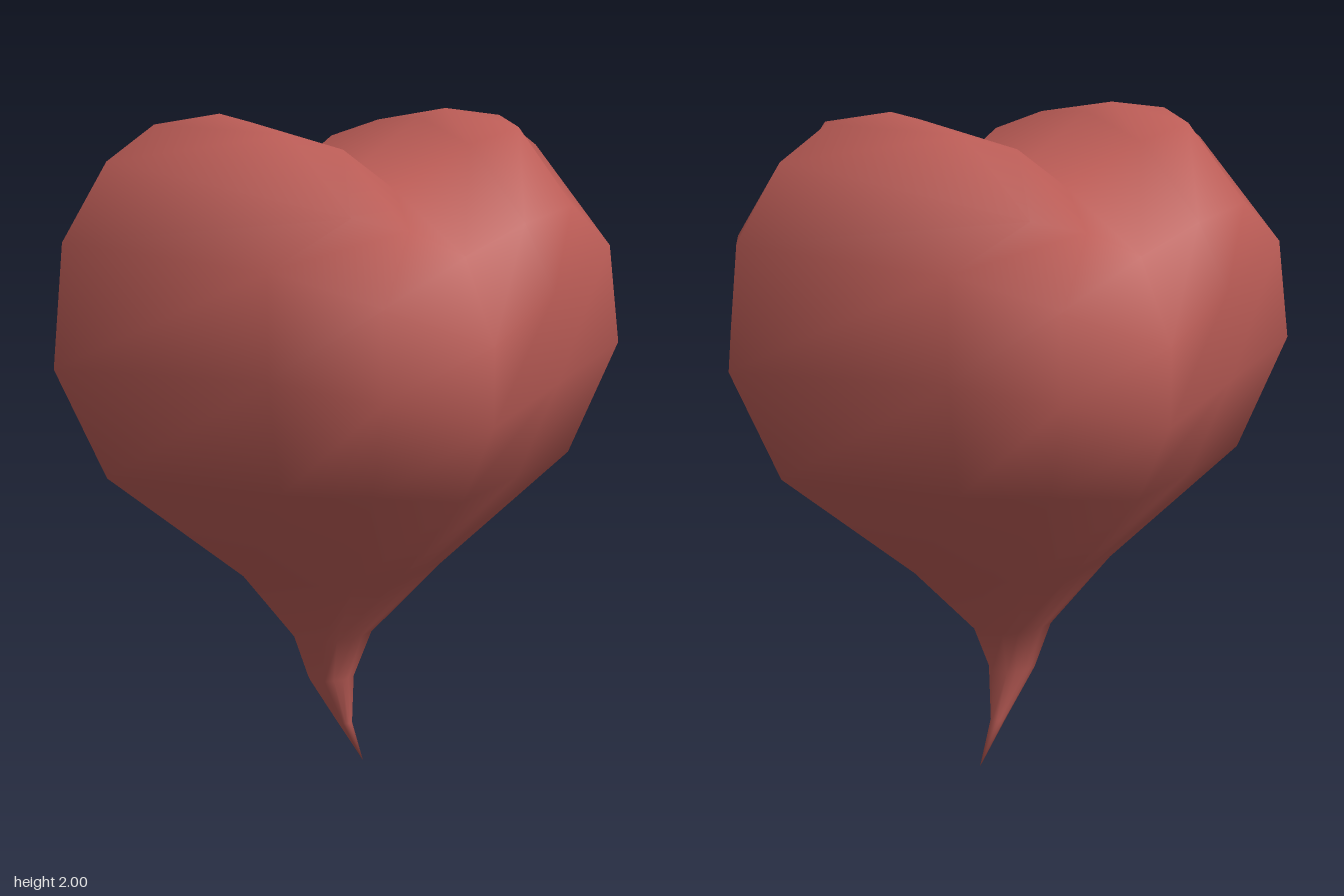
import * as THREE from 'three';
import { mergeVertices } from 'three/addons/utils/BufferGeometryUtils.js';

// A quarter section runs side -> diagonal -> mid -> front; mid defaults to halfway.
function quarter(side, diag, front, mid) {
  const s = [side[0], side[1], 0];
  const f = [0, front[0], front[1]];
  const m = mid || diag.map((v, i) => (v + f[i]) / 2);
  return [s, diag, m, f];
}

// Mirror a quarter into a full closed ring, shifted sideways by cx.
function ring(q, cx = 0) {
  const [s, d, m, f] = q;
  const at = (p, sx, sz) => [cx + p[0] * sx, p[1], p[2] * sz];
  return [
    at(s, 1, 1), at(d, 1, 1), at(m, 1, 1), at(f, 1, 1),
    at(m, -1, 1), at(d, -1, 1), at(s, -1, 1),
    at(d, -1, -1), at(m, -1, -1), at(f, 1, -1), at(m, 1, -1), at(d, 1, -1),
  ];
}

// Elliptical ring for the tapering tail
const oval = (cx, y, rx, rz) =>
  ring(quarter([rx, y], [rx * 0.7, y, rz * 0.7], [y, rz]), cx);

function loft(rings) {
  const pos = [];
  const tri = (a, b, c) => {
    const A = new THREE.Vector3(...a), B = new THREE.Vector3(...b), C = new THREE.Vector3(...c);
    const area = B.clone().sub(A).cross(C.clone().sub(A)).length();
    if (area > 1e-7) pos.push(...a, ...b, ...c);
  };
  for (let k = 0; k < rings.length - 1; k++) {
    const n = rings[k].length;
    for (let j = 0; j < n; j++) {
      const a = rings[k][j], b = rings[k][(j + 1) % n];
      const c = rings[k + 1][j], d = rings[k + 1][(j + 1) % n];
      tri(a, c, b);
      tri(b, c, d);
    }
  }
  const g = new THREE.BufferGeometry();
  g.setAttribute('position', new THREE.Float32BufferAttribute(pos, 3));
  const merged = mergeVertices(g, 1e-4);
  merged.computeVertexNormals();
  return merged;
}

export function createModel() {
  const group = new THREE.Group();
  group.name = 'heart';
  const red = new THREE.MeshStandardMaterial({ color: 0xbb5c56 });
  red.name = 'dusty red';

  const rings = [
    // curled tail
    oval(0.1, 0, 0, 0),
    oval(0.03, 0.14, 0.024, 0.022),
    oval(-0.023, 0.3, 0.077, 0.065),
    oval(-0.02, 0.44, 0.132, 0.112),
    oval(0, 0.66, 0.335, 0.3),
    // swelling body
    ring(quarter([0.78, 1.01], [0.51, 1.01, 0.46], [0.95, 0.6])),
    ring(quarter([0.935, 1.33], [0.61, 1.34, 0.555], [1.18, 0.73])),
    ring(quarter([0.9, 1.67], [0.59, 1.62, 0.53], [1.4, 0.73])),
    // twin lobes
    ring(quarter([0.76, 1.88], [0.38, 1.75, 0.6], [1.63, 0.6], [0.2, 1.71, 0.61])),
    ring(quarter([0.61, 1.975], [0.4, 1.955, 0.34], [1.79, 0.28], [0.22, 1.91, 0.34])),
    // top closes onto a ridge line that dips into the cleft
    ring(quarter([0.4, 2], [0.4, 2, 0], [1.79, 0], [0.3, 1.975, 0])),
  ];

  const body = new THREE.Mesh(loft(rings), red);
  body.name = 'heartBody';
  group.add(body);
  return group;
}
